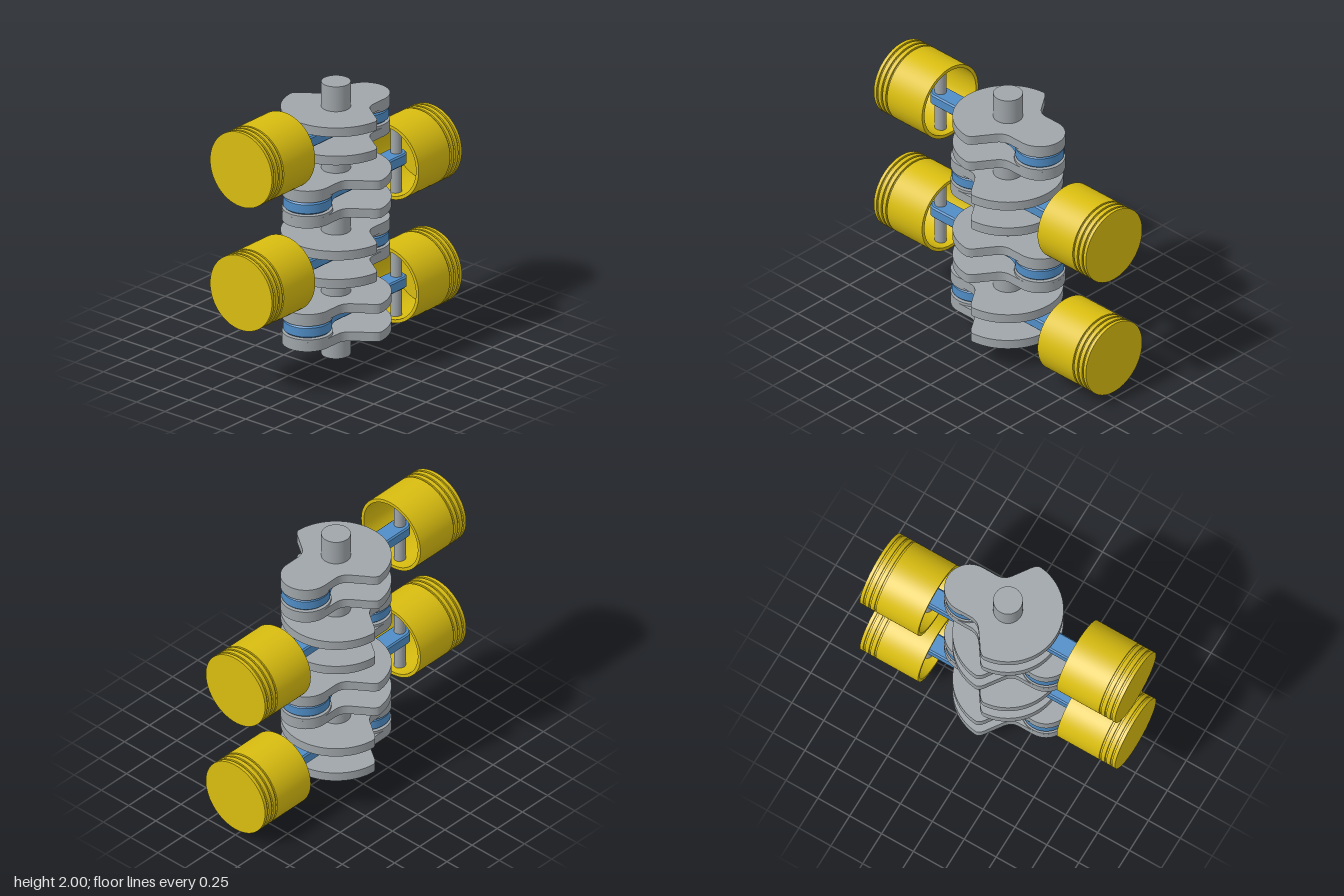
import * as THREE from 'three';
import { toCreasedNormals } from 'three/addons/utils/BufferGeometryUtils.js';

const material = (name, color) => new THREE.MeshStandardMaterial({ name, color });
const PIN_X = 0.3;      // crankpin offset from the shaft axis
const WRIST_X = -0.635; // wrist pin position

export function createModel() {
  const steel = material('steel grey', 0x9fa5a9);
  const blue = material('rod blue', 0x4f8dc6);
  const gold = material('piston gold', 0xd9bd10);

  const model = new THREE.Group();
  model.name = 'crankshaftWithPistons';

  const add = (parent, name, geometry, mat, x = 0, y = 0) => {
    const mesh = new THREE.Mesh(geometry, mat);
    mesh.name = name;
    mesh.position.set(x, y, 0);
    parent.add(mesh);
    return mesh;
  };
  const cylinder = (r, h) => new THREE.CylinderGeometry(r, r, h, 64);

  // Extrudes a plan shape into a plate centred on y = 0
  const plate = (shape, height, bevel = 0) => {
    const g = new THREE.ExtrudeGeometry(shape, {
      depth: height - 2 * bevel, curveSegments: 32,
      bevelEnabled: bevel > 0, bevelSize: bevel, bevelThickness: bevel,
      bevelOffset: -bevel, bevelSegments: 1,
    });
    g.translate(0, 0, bevel - height / 2);
    g.rotateX(-Math.PI / 2);
    return toCreasedNormals(g, 0.5);
  };

  // Crank web: round counterweight flowing into the crankpin lobe
  const web = new THREE.Shape();
  web.moveTo(0.19, -0.1725);
  web.lineTo(PIN_X, -0.1725);
  web.absarc(PIN_X, 0, 0.1725, -Math.PI / 2, Math.PI / 2, false);
  web.lineTo(0.19, 0.1725);
  web.quadraticCurveTo(0.135, 0.1725, 0.1, 0.22);
  web.lineTo(0.03, 0.32);
  web.quadraticCurveTo(0, 0.37, -0.03, 0.374);
  web.absarc(0, 0, 0.375, Math.PI / 2 + 0.08, Math.PI * 1.5 - 0.08, false);
  web.quadraticCurveTo(0, -0.37, 0.03, -0.32);
  web.lineTo(0.1, -0.22);
  web.quadraticCurveTo(0.135, -0.1725, 0.19, -0.1725);
  const webGeometry = plate(web, 0.067);

  // Connecting rod: big end, straight beam and rounded small end
  const rod = new THREE.Shape();
  rod.moveTo(WRIST_X, -0.07);
  rod.lineTo(0.06, -0.07);
  rod.quadraticCurveTo(0.13, -0.07, 0.19, -0.122);
  rod.absarc(PIN_X, 0, 0.165, -2.3, 2.3, false);
  rod.quadraticCurveTo(0.13, 0.07, 0.06, 0.07);
  rod.lineTo(WRIST_X, 0.07);
  rod.absarc(WRIST_X, 0, 0.07, Math.PI / 2, Math.PI * 1.5, false);
  const rodGeometry = plate(rod, 0.084, 0.01);

  // Hollow piston profile, open skirt at 0 and crown at 0.455
  const R = 0.272, length = 0.455;
  const profile = [[0, 0.36], [0.248, 0.36], [0.248, 0], [R, 0]];
  for (const y of [0.33, 0.373, 0.417]) {
    profile.push([R, y], [R - 0.012, y], [R - 0.012, y + 0.014], [R, y + 0.014]);
  }
  profile.push([R, length], [0, length]);
  const pistonGeometry = toCreasedNormals(
    new THREE.LatheGeometry(profile.map(([x, y]) => new THREE.Vector2(x, y)), 72), 0.5);
  pistonGeometry.rotateZ(Math.PI / 2);

  // Four throws, alternating sides
  const levels = [1.68, 1.227, 0.773, 0.32];
  levels.forEach((y, i) => {
    const unit = new THREE.Group();
    unit.name = `crankThrow${i + 1}`;
    unit.position.y = y;
    unit.rotation.y = i % 2 ? Math.PI : 0;
    for (const s of [-1, 1]) {
      add(unit, 'crankWeb', webGeometry, steel, 0, s * 0.1035);
      add(unit, 'crankpinCollar', cylinder(0.1725, 0.03), steel, PIN_X, s * 0.065);
    }
    add(unit, 'crankpin', cylinder(0.11, 0.14), steel, PIN_X);
    add(unit, 'connectingRod', rodGeometry, blue);
    add(unit, 'wristPin', cylinder(0.04, 0.51), steel, WRIST_X);
    add(unit, 'piston', pistonGeometry, gold, -0.545);
    model.add(unit);
  });

  // Main journals between and beyond the throws
  const stops = [2, ...levels.flatMap((y) => [y + 0.13, y - 0.13]), 0];
  for (let i = 0; i < stops.length; i += 2) {
    add(model, 'mainJournal', cylinder(0.1, stops[i] - stops[i + 1]), steel,
      0, (stops[i] + stops[i + 1]) / 2);
  }
  return model;
}
